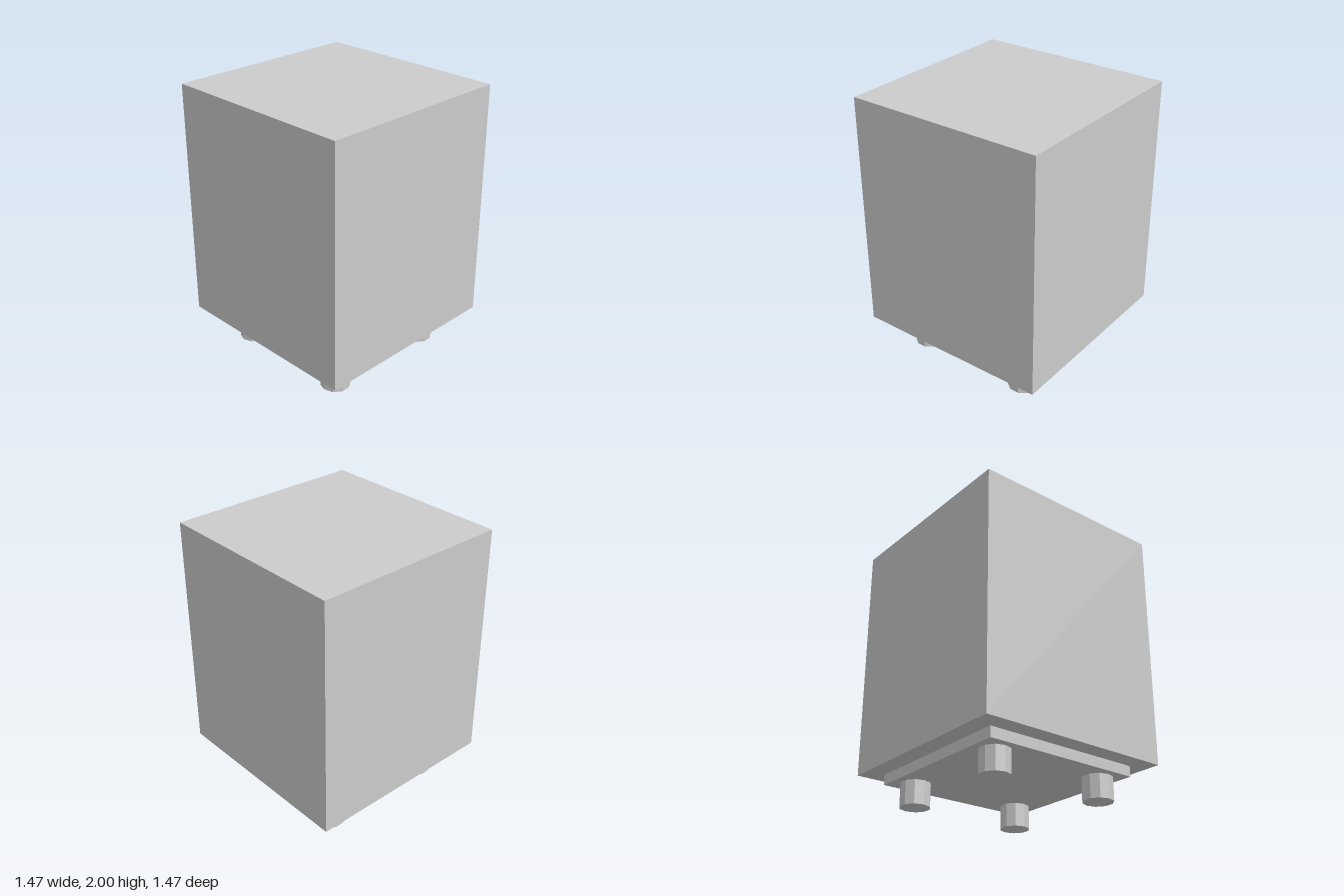
import * as THREE from 'three';

export function createModel() {
  const group = new THREE.Group();
  const material = new THREE.MeshStandardMaterial({ color: 0xcccccc, flatShading: true });

  function add(name, geometry, x, y, z) {
    const mesh = new THREE.Mesh(geometry, material);
    mesh.name = name;
    mesh.position.set(x, y, z);
    group.add(mesh);
  }

  // Square block between two heights
  function block(name, width, bottom, top) {
    add(name, new THREE.BoxGeometry(width, top - bottom, width), 0, (bottom + top) / 2, 0);
  }

  block('body', 1.465, 0.245, 2);
  block('basePlate', 1.194, 0.17, 0.245);

  // Four ten-sided feet under the plate
  const footGeometry = new THREE.CylinderGeometry(0.108, 0.108, 0.17, 10);
  for (const [side, x] of [['Left', 0.44], ['Right', -0.44]]) {
    for (const [end, z] of [['front', 0.44], ['back', -0.44]]) {
      add(end + side + 'Foot', footGeometry, x, 0.085, z);
    }
  }
  return group;
}
